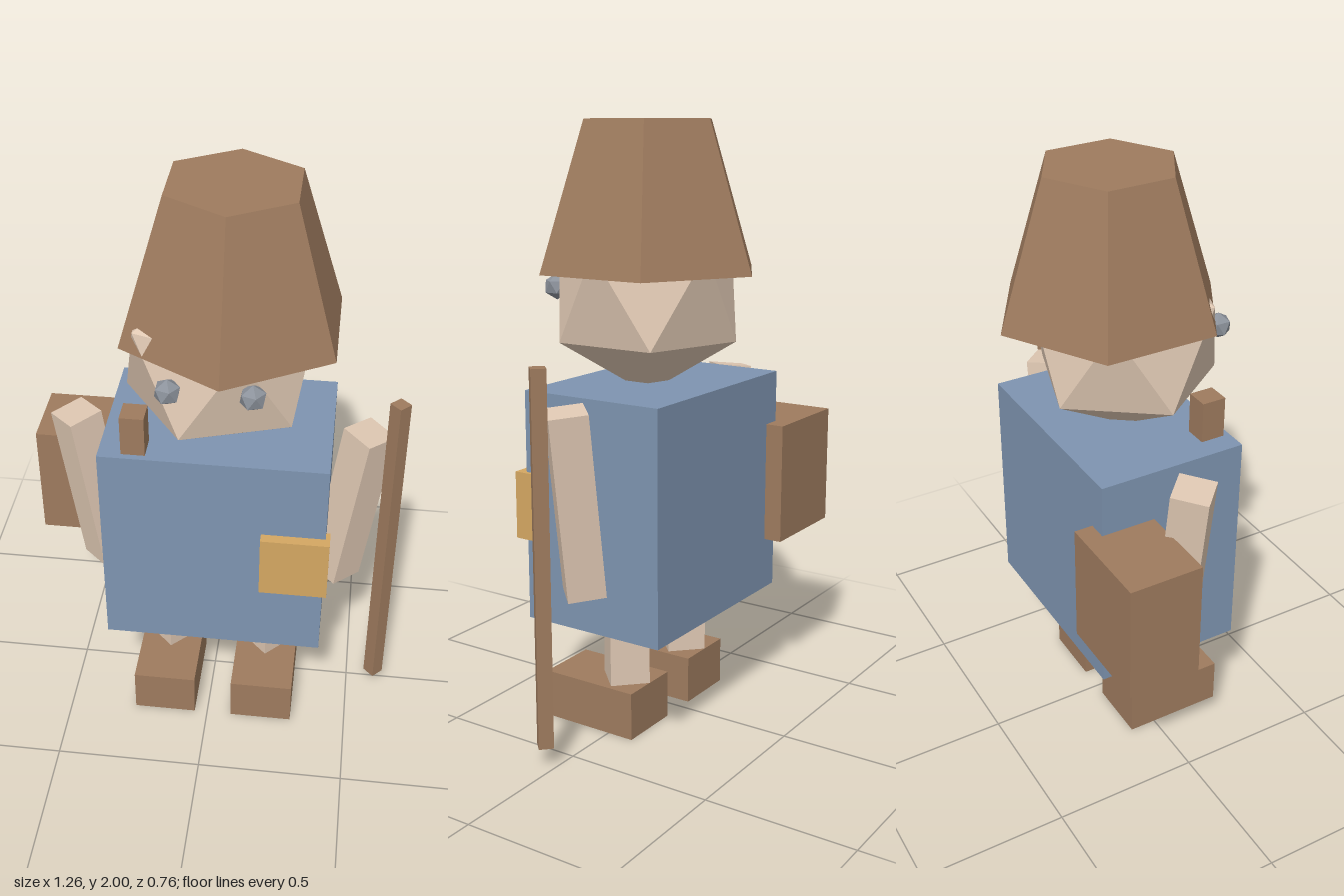
import * as THREE from 'three';

export function createModel() {
  const group = new THREE.Group();
  group.name = 'travellerFigure';

  const material = (name, color) => new THREE.MeshStandardMaterial({ name, color, flatShading: true });
  const leather = material('leatherBrown', 0x9e7b5e);
  const skin = material('skin', 0xdfc8b3);
  const cloth = material('blueCloth', 0x7e94b0);
  const ochre = material('ochre', 0xd4a762);
  const grey = material('eyeGrey', 0x8c929b);

  function add(name, geometry, mat, x, y, z) {
    const mesh = new THREE.Mesh(geometry, mat);
    mesh.name = name;
    mesh.position.set(x, y, z);
    group.add(mesh);
    return mesh;
  }
  const box = (w, h, d) => new THREE.BoxGeometry(w, h, d);
  // Square post with its corners facing the axes
  const post = (r, h) => new THREE.CylinderGeometry(r, r, h, 4);
  // Icosahedron standing on one of its corners
  const gem = (r) => new THREE.IcosahedronGeometry(r, 0).rotateZ(-Math.atan(2 / (1 + Math.sqrt(5))));

  // Torso, head and hat
  add('torso', box(0.74, 0.77, 0.51), cloth, 0.02, 0.77, 0);
  add('head', gem(0.337), skin, 0.018, 1.445, 0.035);
  add('hat', new THREE.CylinderGeometry(0.225, 0.381, 0.475, 6), leather, 0.055, 1.7625, 0);

  // Paired limbs, boots and eyes, mirrored about the torso centre
  for (const [side, s] of [['left', 1], ['right', -1]]) {
    const legX = 0.02 + s * 0.175;
    add(side + 'Leg', post(0.093, 0.42), skin, legX, 0.22, 0);
    add(side + 'Boot', box(0.218, 0.162, 0.348), leather, legX, 0.081, 0.081);
    const arm = add(side + 'Arm', post(0.087, 0.608), skin, 0.02 + s * 0.447, 0.836, 0);
    arm.rotation.z = -s * 0.137;
    add(side + 'Eye', gem(0.044), grey, 0.02 + s * 0.128, 1.46, 0.307);
  }

  // Carried gear
  add('backpack', box(0.35, 0.413, 0.25), leather, -0.46, 0.772, -0.193);
  add('shoulderPeg', box(0.078, 0.2, 0.082), leather, -0.236, 1.195, 0.192);
  add('beltPouch', box(0.225, 0.225, 0.066), ochre, 0.292, 0.772, 0.257);
  add('staff', post(0.034, 1.215), leather, 0.596, 0.675, 0.034);

  return group;
}
